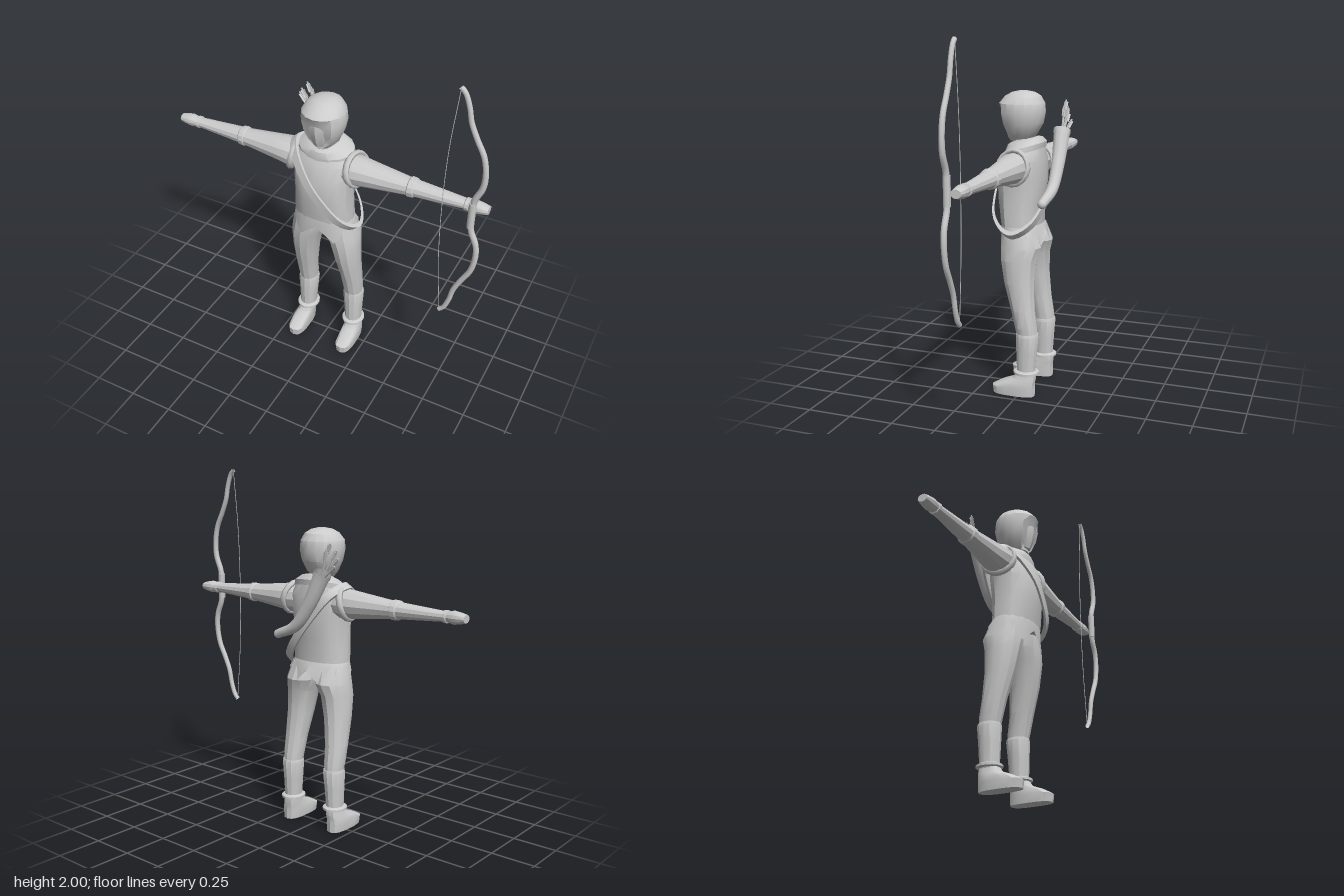
import * as THREE from 'three';
import { toCreasedNormals } from 'three/addons/utils/BufferGeometryUtils.js';

const V = (x, y, z) => new THREE.Vector3(x, y, z);

// Skin of elliptical rings [x, y, z, rx, rz], listed upwards; power < 1 squares the rings off.
function loft(rings, sides = 12, { power = 1, capped = true, rule = null } = {}) {
  const pos = [], index = [];
  const soft = (v) => Math.sign(v) * Math.abs(v) ** power;
  rings.forEach(([x, y, z, rx, rz], r) => {
    for (let j = 0; j < sides; j++) {
      const a = (j / sides) * Math.PI * 2;
      const p = V(x + rx * soft(Math.sin(a)), y, z + rz * soft(Math.cos(a)));
      if (rule) rule(p, a, r);
      pos.push(p.x, p.y, p.z);
    }
  });
  for (let r = 0; r < rings.length - 1; r++) {
    for (let j = 0; j < sides; j++) {
      const a = r * sides + j, b = r * sides + (j + 1) % sides;
      index.push(a, b, b + sides, a, b + sides, a + sides);
    }
  }
  if (capped) {
    const last = rings.length - 1, c = pos.length / 3;
    for (const k of [0, last]) pos.push(rings[k][0], rings[k][1], rings[k][2]);
    for (let j = 0; j < sides; j++) {
      const n = (j + 1) % sides;
      index.push(c, n, j, c + 1, last * sides + j, last * sides + n);
    }
  }
  const g = new THREE.BufferGeometry();
  g.setAttribute('position', new THREE.Float32BufferAttribute(pos, 3));
  g.setIndex(index);
  return toCreasedNormals(g, 0.5);
}

// Tube along points whose radius runs from r0 to r1.
function taperTube(points, r0, r1, segments = 24, sides = 10) {
  const curve = new THREE.CatmullRomCurve3(points);
  const g = new THREE.TubeGeometry(curve, segments, 1, sides);
  const p = g.attributes.position, v = V(0, 0, 0);
  for (let i = 0; i < p.count; i++) {
    const t = Math.floor(i / (sides + 1)) / segments, c = curve.getPointAt(t);
    v.fromBufferAttribute(p, i).sub(c).multiplyScalar(r0 + (r1 - r0) * t).add(c);
    p.setXYZ(i, v.x, v.y, v.z);
  }
  return g;
}

export function createModel() {
  const model = new THREE.Group();
  const grey = new THREE.MeshStandardMaterial({ color: 0xcccccc });
  const thin = new THREE.MeshStandardMaterial({ color: 0xcccccc, side: THREE.DoubleSide });
  const add = (name, geometry, material = grey, parent = model) => {
    const m = new THREE.Mesh(geometry, material);
    m.name = name;
    parent.add(m);
    return m;
  };

  // Torso and tunic skirt with a pointed hem
  add('torso', loft([
    [0, 0.92, 0.03, 0.172, 0.105], [0, 1.0, 0.035, 0.172, 0.112], [0, 1.1, 0.038, 0.165, 0.122],
    [0, 1.22, 0.033, 0.17, 0.132], [0, 1.33, 0.02, 0.18, 0.112], [0, 1.39, 0.01, 0.14, 0.092],
    [0, 1.43, 0.015, 0.07, 0.065]], 16, { power: 0.85 }));
  add('tunicSkirt', loft([
    [0, 0.87, 0.018, 0.192, 0.125], [0, 0.945, 0.028, 0.18, 0.116], [0, 0.965, 0.032, 0.173, 0.11]], 24,
  { power: 0.9, capped: false, rule: (p, a, r) => { if (r === 0) p.y += 0.045 * Math.cos(a * 6); } }), thin);

  // Neck and draped cowl
  add('neck', loft([[0, 1.36, 0.02, 0.075, 0.07], [0, 1.5, 0.04, 0.06, 0.06]], 10));
  const dip = (p) => { p.y -= 0.25 * (p.z - 0.02); };
  add('cowl', loft([
    [0, 1.365, 0.015, 0.165, 0.105], [0, 1.395, 0.015, 0.16, 0.108], [0, 1.425, 0.02, 0.11, 0.095],
    [0, 1.435, 0.025, 0.075, 0.075]], 16, { capped: false, rule: dip }), thin);

  // Hood, pressed in at the front to frame the face
  add('hood', loft([
    [0, 1.425, 0.045, 0.055, 0.06], [0, 1.46, 0.04, 0.088, 0.085], [0, 1.52, 0.037, 0.112, 0.118],
    [0, 1.58, 0.037, 0.124, 0.13], [0, 1.63, 0.038, 0.118, 0.128], [0, 1.67, 0.032, 0.092, 0.1],
    [0, 1.69, 0.03, 0.06, 0.065], [0, 1.698, 0.03, 0.025, 0.025]], 16,
  { rule: (p, a, r) => { if (r > 0 && r < 4 && Math.cos(a) > 0.9) p.z -= 0.022; } }));
  add('face', loft([
    [0, 1.44, 0.075, 0.032, 0.045], [0, 1.48, 0.08, 0.045, 0.055], [0, 1.54, 0.085, 0.056, 0.062],
    [0, 1.575, 0.085, 0.056, 0.062]], 8, { power: 0.8 }));

  for (const s of [1, -1]) {
    const side = s > 0 ? 'left' : 'right';

    // Arm with cuffs and hand, skinned upright then laid outwards
    const arm = new THREE.Group();
    arm.name = side + 'Arm';
    arm.position.set(0, 1.295, 0.025);
    model.add(arm);
    const limb = (name, rings) => add(name, loft(rings, 12).rotateZ(-s * Math.PI / 2), grey, arm);
    limb('sleeve', [
      [0, 0.1, 0, 0.075, 0.08], [0, 0.18, 0, 0.085, 0.092], [0, 0.3, 0, 0.071, 0.075],
      [0, 0.5, 0, 0.048, 0.052], [0, 0.82, 0, 0.027, 0.032]]);
    limb('elbowCuff', [
      [0, 0.49, 0, 0.048, 0.05], [0, 0.498, 0, 0.056, 0.06], [0, 0.525, 0, 0.054, 0.057], [0, 0.535, 0, 0.044, 0.047]]);
    limb('wristCuff', [
      [0, 0.8, 0, 0.028, 0.03], [0, 0.805, 0, 0.034, 0.038], [0, 0.822, 0, 0.034, 0.038], [0, 0.826, 0, 0.026, 0.03]]);
    limb('hand', [
      [0, 0.82, 0, 0.026, 0.03], [0, 0.86, 0, 0.036, 0.038], [0, 0.9, 0, 0.029, 0.034], [0, 0.928, 0, 0.022, 0.028]]);
    const ring = add('shoulderRing', new THREE.TorusGeometry(0.092, 0.014, 6, 16), grey, arm);
    ring.position.set(s * 0.185, 0.005, 0);
    ring.scale.z = 1.4;
    ring.rotation.set(0, s * (Math.PI / 2 - 0.18), s * 0.22, 'ZYX');

    // Leg, boot and shoe
    const leg = new THREE.Group();
    leg.name = side + 'Leg';
    model.add(leg);
    const part = (name, rings, sides, options) =>
      add(name, loft(rings.map(([x, ...rest]) => [s * x, ...rest]), sides, options), grey, leg);
    part('trouserLeg', [
      [0.15, 0.34, -0.045, 0.052, 0.058], [0.15, 0.4, -0.037, 0.058, 0.064], [0.147, 0.5, -0.018, 0.064, 0.068],
      [0.135, 0.65, 0.008, 0.075, 0.086], [0.122, 0.78, 0.016, 0.088, 0.102], [0.103, 0.85, 0.008, 0.1, 0.115],
      [0.09, 0.95, 0.025, 0.088, 0.095]], 12);
    part('boot', [
      [0.155, 0.12, -0.04, 0.047, 0.053], [0.153, 0.25, -0.042, 0.055, 0.06], [0.151, 0.35, -0.045, 0.062, 0.066],
      [0.151, 0.365, -0.044, 0.058, 0.063]], 12);
    part('ankleCuff', [
      [0.155, 0.125, -0.04, 0.05, 0.058], [0.155, 0.13, -0.04, 0.066, 0.074], [0.155, 0.142, -0.04, 0.066, 0.074],
      [0.155, 0.15, -0.04, 0.05, 0.055]], 14);
    part('shoe', [
      [0.162, 0, 0.03, 0.048, 0.123], [0.162, 0.045, 0.032, 0.053, 0.126], [0.162, 0.075, 0.005, 0.05, 0.098],
      [0.158, 0.1, -0.03, 0.044, 0.066], [0.155, 0.14, -0.04, 0.04, 0.05]], 14, { power: 0.7 });
  }

  // Shoulder strap: a flat loop around the body in a slanted plane
  const loop = [[-0.31, 0.02], [-0.26, 0.1], [-0.09, 0.174], [0.05, 0.182], [0.2, 0.156], [0.29, 0.085],
    [0.31, 0.02], [0.24, -0.07], [0.1, -0.12], [-0.1, -0.125], [-0.25, -0.09]];
  const outline = (k) => new THREE.CatmullRomCurve3(
    loop.map(([a, b]) => V(a * k, 0.03 + (b - 0.03) * k, 0)), true)
    .getPoints(40).slice(0, -1).map((p) => new THREE.Vector2(p.x, p.y));
  const strapShape = new THREE.Shape(outline(1));
  strapShape.holes.push(new THREE.Path(outline(0.92)));
  const along = V(0.64, -0.77, 0).normalize(), depth = V(0, 0, 1);
  const strapGeo = new THREE.ExtrudeGeometry(strapShape, { depth: 0.046, bevelEnabled: false });
  strapGeo.translate(0, 0, -0.023);
  strapGeo.applyMatrix4(new THREE.Matrix4().makeBasis(along, depth, along.clone().cross(depth)));
  add('strap', toCreasedNormals(strapGeo, 0.5)).position.set(0.01, 1.16, 0);

  // Curved quiver across the back with arrows
  const quiver = new THREE.Group();
  quiver.name = 'quiver';
  model.add(quiver);
  const mouth = V(-0.145, 1.465, -0.145), end = V(0.175, 1.11, -0.138);
  add('quiverBody', taperTube([mouth, V(-0.06, 1.3, -0.15), V(0.04, 1.17, -0.15), end], 0.047, 0.026), thin, quiver);
  add('quiverEnd', new THREE.SphereGeometry(0.026, 10, 8), grey, quiver).position.copy(end);
  const up = V(-0.46, 0.89, 0).normalize();
  const aim = (mesh, dir) => mesh.quaternion.setFromUnitVectors(V(0, 1, 0), dir);
  const rim = add('quiverRim', new THREE.CylinderGeometry(0.049, 0.049, 0.025, 12, 1, true), thin, quiver);
  rim.position.copy(mouth);
  aim(rim, up);
  const tips = [[-0.255, 1.56, -0.15], [-0.23, 1.6, -0.13], [-0.205, 1.635, -0.15], [-0.19, 1.6, -0.165], [-0.25, 1.52, -0.17]];
  tips.forEach((t, i) => {
    const tip = V(...t), base = V(-0.13 + 0.01 * (i % 3 - 1), 1.42, -0.145);
    const dir = tip.clone().sub(base).normalize();
    const arrow = new THREE.Group();
    arrow.name = 'arrow';
    arrow.position.copy(tip);
    aim(arrow, dir);
    quiver.add(arrow);
    const length = tip.distanceTo(base);
    add('shaft', new THREE.CylinderGeometry(0.005, 0.005, length, 6).translate(0, -length / 2, 0), grey, arrow);
    for (let k = 0; k < 3; k++) {
      add('feather', new THREE.BoxGeometry(0.012, 0.05, 0.002).translate(0.007, -0.035, 0), grey, arrow)
        .rotation.y = k * Math.PI * 2 / 3;
    }
  });

  // Recurve bow held at the left hand, mirrored about its grip
  const bow = new THREE.Group();
  bow.name = 'bow';
  bow.position.set(0, 1.2925, 0.1);
  model.add(bow);
  const half = [[0.862, 0.05], [0.87, 0.1], [0.902, 0.18], [0.908, 0.26], [0.89, 0.36], [0.845, 0.45],
    [0.81, 0.53], [0.792, 0.61], [0.765, 0.68], [0.742, 0.703]];
  for (const s of [1, -1]) {
    add(s > 0 ? 'upperLimb' : 'lowerLimb',
      taperTube(half.map(([x, y]) => V(x, s * y, 0)), 0.017, 0.013, 40, 8), thin, bow);
  }
  add('bowGrip', new THREE.CylinderGeometry(0.02, 0.02, 0.15, 8).translate(0.862, 0, 0), grey, bow);
  add('bowString', taperTube([V(0.742, -0.69, 0), V(0.712, -0.35, 0), V(0.703, 0, 0), V(0.712, 0.35, 0),
    V(0.742, 0.69, 0)], 0.002, 0.002, 24, 5), grey, bow);

  return model;
}
